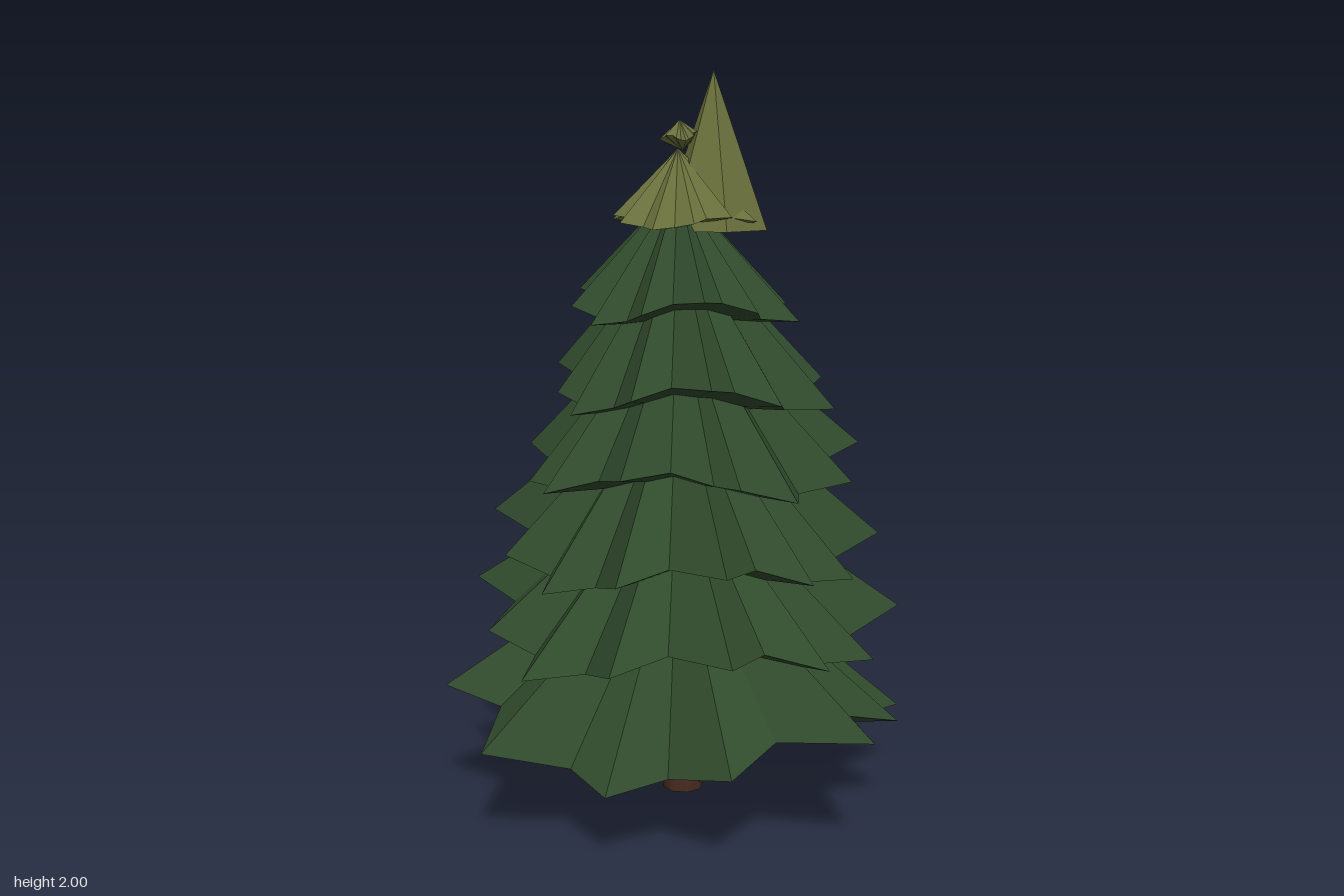
import * as THREE from 'three';

const mat = (color, flatShading = true) => new THREE.MeshStandardMaterial({ color, flatShading });
const green = mat(0x304a2c);
const olive = mat(0x6a703c);
const brown = mat(0x472b20, false);

// Star-shaped skirt: folded cone on top, shallow fan underneath, and a hem
// that rises and falls three times round, highest at the angle "peak".
function skirt(name, material, { tips, y, wave, apex, peak, floor = y - wave * 1.3 }) {
  const count = tips.length * 2;
  const rim = Array.from({ length: count }, (_, i) => {
    const k = i >> 1;
    const a = (i * 2 * Math.PI) / count;
    const turned = a + 0.045 - 0.035 * Math.sin(a); // slightly uneven spacing
    const r = i % 2 ? 0.4 * (tips[k] + tips[(k + 1) % tips.length]) : tips[k];
    const h = y + wave * Math.cos(3 * (a - THREE.MathUtils.degToRad(peak)));
    return [r * Math.cos(turned), h, r * Math.sin(turned)];
  });
  const pos = [];
  rim.forEach((p, i) => {
    const q = rim[(i + 1) % count];
    pos.push(0, apex, 0, ...q, ...p);
    pos.push(0, floor, 0, ...p, ...q);
  });
  const geo = new THREE.BufferGeometry();
  geo.setAttribute('position', new THREE.Float32BufferAttribute(pos, 3));
  geo.computeVertexNormals();
  const mesh = new THREE.Mesh(geo, material);
  mesh.name = name;
  return mesh;
}

// branch tiers from the ground up; tips are listed from +x towards +z
const tiers = [
  { y: 0.27, wave: 0.07, apex: 0.76, peak: 60,
    tips: [0.65, 0.63, 0.735, 0.63, 0.585, 0.67, 0.65, 0.655, 0.57, 0.665, 0.715, 0.62] },
  { y: 0.495, wave: 0.06, apex: 0.97, peak: 92,
    tips: [0.645, 0.56, 0.58, 0.632, 0.55, 0.54, 0.53, 0.63, 0.56, 0.52, 0.55, 0.63] },
  { y: 0.71, wave: 0.055, apex: 1.22, peak: 93,
    tips: [0.58, 0.5, 0.52, 0.57, 0.5, 0.47, 0.48, 0.57, 0.51, 0.46, 0.52, 0.55] },
  { y: 0.945, wave: 0.045, apex: 1.42, peak: 110,
    tips: [0.515, 0.49, 0.46, 0.43, 0.46, 0.46, 0.41, 0.45, 0.5, 0.45, 0.46, 0.46] },
  { y: 1.16, wave: 0.045, apex: 1.6, peak: 95,
    tips: [0.405, 0.44, 0.4, 0.4, 0.38, 0.37, 0.33, 0.36, 0.38, 0.38, 0.45, 0.44] },
  { y: 1.38, wave: 0.035, apex: 1.7, peak: 90,
    tips: [0.3, 0.34, 0.31, 0.32, 0.3, 0.3, 0.29, 0.29, 0.3, 0.28, 0.31, 0.32] },
];

export function createModel() {
  const tree = new THREE.Group();
  tree.name = 'tree';

  // trunk
  const trunk = new THREE.Mesh(new THREE.CylinderGeometry(0.05, 0.058, 0.3, 8), brown);
  trunk.name = 'trunk';
  trunk.position.set(0.014, 0.15, 0.004);
  tree.add(trunk);

  // green branches
  tiers.forEach((tier, i) => tree.add(skirt(`branchTier${i + 1}`, green, tier)));

  // pale top tier and the tiny tuft above it
  tree.add(skirt('topTier', olive, {
    tips: [0.24, 0.22, 0.21, 0.2, 0.21, 0.2, 0.175, 0.19, 0.2, 0.215, 0.22, 0.235],
    y: 1.605, wave: 0.015, apex: 1.795, peak: 180,
  }));
  const tuft = skirt('topTuft', olive, {
    tips: [0.04, 0.045, 0.05, 0.05, 0.045, 0.055, 0.06, 0.05, 0.045, 0.05, 0.04, 0.045],
    y: 0.02, wave: 0.01, apex: 0.065, peak: 30, floor: -0.015,
  });
  tuft.position.set(0.012, 1.805, 0);
  tuft.rotation.z = 0.12;
  tree.add(tuft);

  // off-centre pointed cone
  const cone = new THREE.Mesh(new THREE.ConeGeometry(0.15, 0.42, 6), olive);
  cone.name = 'topCone';
  cone.position.set(0.097, 1.79, 0);
  tree.add(cone);

  return tree;
}
